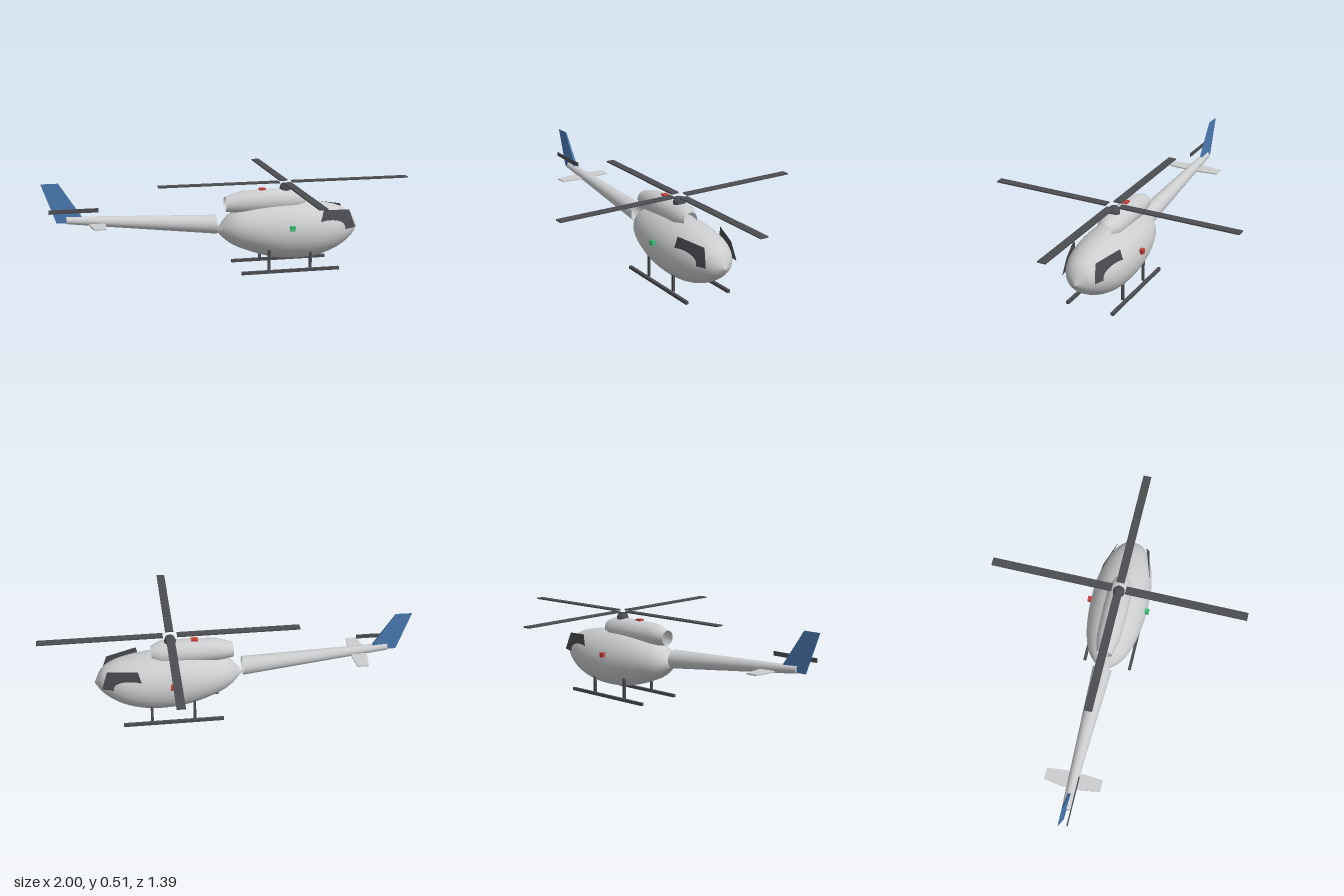
import * as THREE from 'three';

const paint = (name, color, double) => {
  const m = new THREE.MeshStandardMaterial({ color });
  m.name = name;
  if (double) m.side = THREE.DoubleSide;
  return m;
};

// Skin of elliptical rings along x; each section is [x, top, bottom, halfWidth].
function loft(sections, sides) {
  const pos = [], idx = [];
  for (const [x, top, bottom, w] of sections) {
    const cy = (top + bottom) / 2, h = (top - bottom) / 2;
    for (let j = 0; j < sides; j++) {
      const a = (j / sides) * Math.PI * 2;
      pos.push(x, cy + h * Math.cos(a), w * Math.sin(a));
    }
  }
  for (let i = 0; i < sections.length - 1; i++) {
    for (let j = 0; j < sides; j++) {
      const k = (j + 1) % sides;
      const a = i * sides + j, b = a + sides, c = i * sides + k, d = c + sides;
      idx.push(a, c, b, b, c, d);
    }
  }
  const g = new THREE.BufferGeometry();
  g.setAttribute('position', new THREE.Float32BufferAttribute(pos, 3));
  g.setIndex(idx);
  g.computeVertexNormals();
  return g;
}

// Adds smooth in-between sections.
function refine(sections, count) {
  const upper = new THREE.CatmullRomCurve3(sections.map(([x, t]) => new THREE.Vector3(x, t, 0)));
  const lower = new THREE.CatmullRomCurve3(sections.map(([x, , b, w]) => new THREE.Vector3(x, b, w)));
  return Array.from({ length: count + 1 }, (_, i) => {
    const t = upper.getPoint(i / count), l = lower.getPoint(i / count);
    return [l.x, t.y, l.y, l.z];
  });
}

export function createModel() {
  const model = new THREE.Group();
  model.name = 'helicopter';
  const body = paint('lightGrey', 0xcccdcf, true);
  const dark = paint('darkGrey', 0x4c4d52, true);
  const blue = paint('blue', 0x4a7ab2);
  const red = paint('red', 0xc43e38);
  const green = paint('green', 0x35c070);

  const add = (name, geo, mat, x = 0, y = 0, z = 0) => {
    const m = new THREE.Mesh(geo, mat);
    m.name = name;
    m.position.set(x, y, z);
    model.add(m);
    return m;
  };
  const box = (name, mat, w, h, d, x, y, z) => add(name, new THREE.BoxGeometry(w, h, d), mat, x, y, z);

  // Fuselage pod, pointed at nose and tail
  add('fuselage', loft(refine([
    [-0.082, 0.222, 0.218, 0.002],
    [0.0, 0.31, 0.145, 0.088],
    [0.1, 0.345, 0.1, 0.13],
    [0.22, 0.363, 0.063, 0.152],
    [0.33, 0.368, 0.049, 0.159],
    [0.45, 0.36, 0.054, 0.154],
    [0.55, 0.343, 0.08, 0.134],
    [0.62, 0.322, 0.115, 0.105],
    [0.675, 0.286, 0.158, 0.066],
    [0.715, 0.211, 0.209, 0.001],
  ], 40), 40), body);

  // Open engine cowling on the roof
  add('engineCowling', loft([
    [-0.03, 0.402, 0.322, 0.042],
    [0.06, 0.43, 0.308, 0.062],
    [0.2, 0.435, 0.305, 0.067],
    [0.35, 0.435, 0.305, 0.067],
    [0.408, 0.41, 0.33, 0.04],
  ], 28), body);

  // Tail boom, open at the front
  add('tailBoom', loft([
    [-0.875, 0.336, 0.297, 0.02],
    [-0.08, 0.306, 0.204, 0.052],
  ], 28), body);
  const cap = add('tailBoomCap', new THREE.CircleGeometry(0.0195, 28), body, -0.875, 0.3165, 0);
  cap.rotation.y = -Math.PI / 2;

  // Tail fin: a box remapped to a swept, tapered slab
  const fin = new THREE.BoxGeometry(1, 1, 1);
  const p = fin.attributes.position;
  for (let i = 0; i < p.count; i++) {
    const u = p.getX(i) + 0.5, v = p.getY(i) + 0.5;
    const x = THREE.MathUtils.lerp(
      THREE.MathUtils.lerp(-0.925, -0.775, u),
      THREE.MathUtils.lerp(-1, -0.91, u), v);
    const half = (u ? 0.009 : 0.003) * (v ? 0.3 : 1);
    p.setXYZ(i, x, 0.302 + v * 0.211, Math.sign(p.getZ(i)) * half);
  }
  fin.computeVertexNormals();
  add('tailFin', fin, blue);

  // Horizontal stabiliser with tapered tips
  const plan = new THREE.Shape([
    [-0.742, -0.148], [-0.682, -0.148], [-0.673, -0.05], [-0.673, 0.05],
    [-0.682, 0.148], [-0.742, 0.148], [-0.757, 0.05], [-0.757, -0.05],
  ].map(([x, z]) => new THREE.Vector2(x, z)));
  const stabiliser = add('stabiliser',
    new THREE.ExtrudeGeometry(plan, { depth: 0.007, bevelEnabled: false }), body, 0, 0.296, 0);
  stabiliser.rotation.x = Math.PI / 2;

  // Main rotor: hub and four separate blades
  const hubX = 0.305;
  add('rotorHub', new THREE.LatheGeometry([
    [0.032, 0.42], [0.032, 0.44], [0.023, 0.462], [0, 0.462],
  ].map(([r, y]) => new THREE.Vector2(r, y)), 16), dark, hubX);
  for (const s of [-1, 1]) {
    box('mainBladeAlong', dark, 0.657, 0.007, 0.044, hubX + s * 0.366, 0.472, 0);
    box('mainBladeAcross', dark, 0.044, 0.007, 0.657, hubX, 0.472, s * 0.366);
    box('tailRotorBlade', dark, 0.118, 0.022, 0.005, -0.837 + s * 0.069, 0.37, 0.032);
  }
  box('tailRotorHub', dark, 0.02, 0.02, 0.005, -0.837, 0.37, 0.032);

  for (const s of [-1, 1]) {
    // Landing skids and struts
    box('skid', dark, 0.54, 0.016, 0.016, 0.305, 0.008, s * 0.129);
    for (const x of [0.19, 0.42]) box('skidStrut', dark, 0.014, 0.13, 0.012, x, 0.073, s * 0.109);

    // Flat window pane standing slightly off the hull
    const pane = new THREE.BufferGeometry();
    pane.setAttribute('position', new THREE.Float32BufferAttribute([
      0.485, 0.334, s * 0.13, 0.45, 0.2, s * 0.146,
      0.677, 0.222, s * 0.093, 0.645, 0.318, s * 0.08,
    ], 3));
    pane.setIndex(s > 0 ? [0, 1, 2, 0, 2, 3] : [0, 2, 1, 0, 3, 2]);
    pane.computeVertexNormals();
    add('cockpitWindow', pane, dark);

    // Navigation lights
    box('sideLight', s > 0 ? green : red, 0.025, 0.025, 0.03, hubX, 0.247, s * 0.157);
  }
  box('roofBeacon', red, 0.036, 0.03, 0.03, 0.176, 0.426, 0);

  return model;
}
